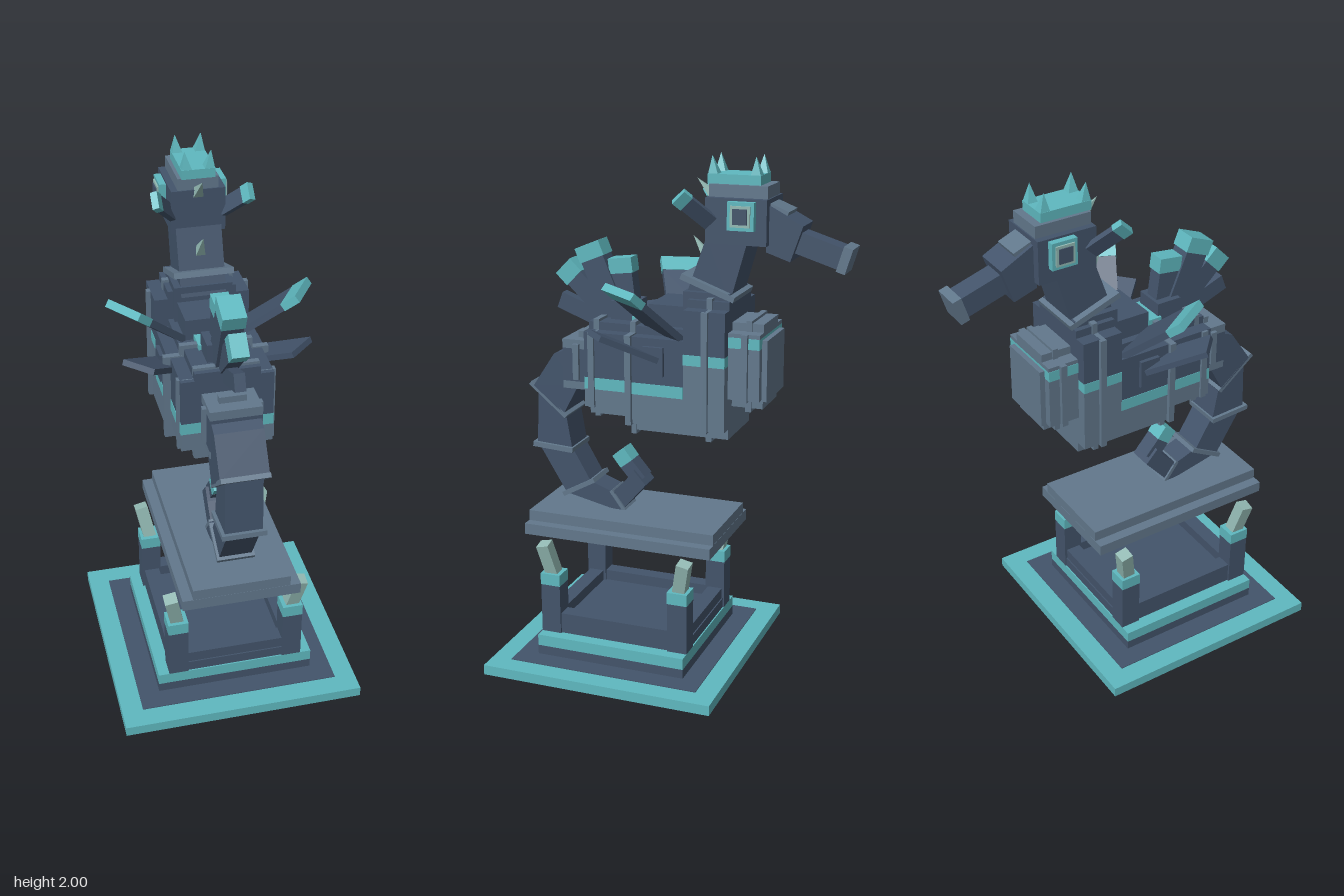
import * as THREE from 'three';

const mat = (name, color) => {
  const m = new THREE.MeshStandardMaterial({ color });
  m.name = name;
  return m;
};

export function createModel() {
  const navy = mat('navy', 0x43546b), steel = mat('steel blue', 0x62788c);
  const teal = mat('teal', 0x5fb9c0), pale = mat('pale teal', 0x93bab4);
  const root = new THREE.Group();
  root.name = 'seahorseOnPlinth';

  const add = (name, geo, m) => {
    const mesh = new THREE.Mesh(geo, m);
    mesh.name = name;
    root.add(mesh);
    return mesh;
  };
  // Box from its extents
  const box = (name, m, x0, x1, y0, y1, z0, z1) => {
    const mesh = add(name, new THREE.BoxGeometry(x1 - x0, y1 - y0, z1 - z0), m);
    mesh.position.set((x0 + x1) / 2, (y0 + y1) / 2, (z0 + z1) / 2);
    return mesh;
  };
  const slab = (name, m, hw, y0, y1, z0, z1) => box(name, m, -hw, hw, y0, y1, z0, z1);
  // Side outline of [z, y] points, given a width along x
  const prism = (name, m, hw, pts) => {
    const shape = new THREE.Shape(pts.map(p => new THREE.Vector2(p[0], p[1])));
    const geo = new THREE.ExtrudeGeometry(shape, { depth: hw * 2, bevelEnabled: false });
    return add(name, geo.rotateY(-Math.PI / 2).translate(hw, 0, 0), m);
  };
  // Straight bar in the side plane, from one [z, y] point to another
  const bar = (name, m, hw, [z0, y0], [z1, y1], t) => {
    const l = Math.hypot(z1 - z0, y1 - y0), a = -(y1 - y0) / l * t / 2, b = (z1 - z0) / l * t / 2;
    return prism(name, m, hw, [[z0 - a, y0 - b], [z1 - a, y1 - b], [z1 + a, y1 + b], [z0 + a, y0 + b]]);
  };
  // Flat plate from a base point to a tip, with a given width direction
  const plate = (name, m, from, to, wide, width, thick) => {
    const a = new THREE.Vector3(...from), b = new THREE.Vector3(...to);
    const l = b.clone().sub(a), len = l.length();
    l.normalize();
    const n = new THREE.Vector3().crossVectors(l, new THREE.Vector3(...wide)).normalize();
    const w = new THREE.Vector3().crossVectors(n, l);
    const mesh = add(name, new THREE.BoxGeometry(len, width, thick), m);
    mesh.quaternion.setFromRotationMatrix(new THREE.Matrix4().makeBasis(l, w, n));
    mesh.position.copy(a.add(b).multiplyScalar(0.5));
  };
  const mix = (a, b, t) => a.map((v, i) => v + (b[i] - v) * t);

  // Plinth
  slab('baseSlab', teal, 0.465, 0, 0.04, -0.272, 0.66);
  slab('baseTopInlay', navy, 0.385, 0.038, 0.043, -0.19, 0.58);
  slab('baseUnderInlay', navy, 0.385, -0.001, 0.004, -0.19, 0.58);
  slab('lowerStep', navy, 0.305, 0.04, 0.08, -0.11, 0.5);
  slab('upperStep', teal, 0.305, 0.08, 0.125, -0.11, 0.5);
  slab('trayFloor', navy, 0.255, 0.125, 0.165, -0.105, 0.495);
  for (const s of [-1, 1]) {
    const x = s * 0.225, z = 0.195 + s * 0.265;
    box('traySide', navy, x - 0.03, x + 0.03, 0.165, 0.208, -0.03, 0.42);
    slab('trayEnd', navy, 0.19, 0.165, 0.208, z - 0.03, z + 0.03);
    for (const t of [-1, 1]) {
      const pz = 0.195 + t * 0.265;
      box('post', navy, x - 0.038, x + 0.038, 0.125, 0.33, pz - 0.04, pz + 0.04);
      box('postCap', teal, x - 0.039, x + 0.039, 0.325, 0.372, pz - 0.041, pz + 0.041);
      plate('prong', pale, [x, 0.365, pz], [x + s * 0.027, 0.495, pz + t * 0.027], [1, 0, 0], 0.05, 0.05);
    }
  }

  // Floating platform
  slab('platformLower', steel, 0.225, 0.512, 0.556, -0.188, 0.582);
  slab('platformUpper', steel, 0.185, 0.556, 0.598, -0.187, 0.581);

  // Body sections: z0, z1, bottom, steel top, teal top, top, half width
  const sections = [
    ['rear', 0.15, 0.335, 1.01, 1.12, 1.165, 1.37, 0.17, navy],
    ['middle', -0.065, 0.16, 0.965, 1.12, 1.165, 1.37, 0.18, navy],
    ['chest', -0.225, -0.065, 0.965, 1.25, 1.29, 1.485, 0.18, navy],
    ['breast', -0.345, -0.225, 1.085, 1.32, 1.36, 1.405, 0.14, steel],
  ];
  for (const [n, z0, z1, yb, ys, yt, top, hw, m] of sections) {
    slab(n + 'Belly', steel, hw, yb + 0.04, ys, z0, z1);
    slab(n + 'BellyCore', steel, hw - 0.05, yb, yb + 0.05, z0, z1);
    slab(n + 'Band', teal, hw + 0.002, ys, yt, z0, z1);
    slab(n + 'Back', m, hw, yt, top - 0.03, z0, z1);
    slab(n + 'BackCore', m, hw - 0.05, top - 0.04, top, z0, z1);
  }
  // Armour rings, stepped at top and bottom
  for (const [z, y0, y1, hw] of [[0.4, 1.08, 1.31, 0.11], [0.305, 1.0, 1.38, 0.18],
    [0.15, 0.95, 1.385, 0.195], [-0.15, 0.95, 1.495, 0.195], [-0.29, 1.07, 1.415, 0.155]]) {
    slab('ring', steel, hw, y0 + 0.05, y1 - 0.04, z - 0.012, z + 0.012);
    slab('ringStep', steel, hw - 0.06, y0, y1, z - 0.011, z + 0.011);
  }
  slab('breastPlate', steel, 0.11, 1.12, 1.35, -0.365, -0.34);
  slab('shoulderHump', navy, 0.1, 1.36, 1.45, -0.07, 0.1);
  slab('backStripe', teal, 0.07, 1.37, 1.39, 0.1, 0.18);
  slab('finRoot', navy, 0.06, 1.36, 1.44, 0.17, 0.27);

  // Tail
  slab('tailRoot', navy, 0.095, 1.12, 1.25, 0.33, 0.46);
  slab('tailRootTop', steel, 0.095, 1.25, 1.285, 0.335, 0.46);
  slab('tailRootBottom', steel, 0.095, 1.09, 1.12, 0.335, 0.46);
  prism('tailUpper', navy, 0.09, [[0.4, 1.1], [0.465, 0.98], [0.59, 1.085], [0.5, 1.22], [0.45, 1.24]]);
  prism('tailMiddle', navy, 0.07, [[0.465, 0.98], [0.44, 0.83], [0.59, 0.84], [0.58, 1.08]]);
  prism('tailLower', navy, 0.062, [[0.44, 0.83], [0.365, 0.7], [0.47, 0.64], [0.588, 0.835]]);
  prism('tailBend', navy, 0.055, [[0.365, 0.7], [0.27, 0.665], [0.235, 0.595], [0.29, 0.6], [0.47, 0.64]]);
  prism('tailCurl', navy, 0.048, [[0.28, 0.665], [0.235, 0.6], [0.14, 0.71], [0.19, 0.765], [0.225, 0.72]]);
  bar('tailCurlEnd', navy, 0.035, [0.17, 0.72], [0.235, 0.795], 0.06);
  bar('tailTip', teal, 0.036, [0.225, 0.785], [0.26, 0.83], 0.062);
  bar('tailRing', steel, 0.09, [0.605, 1.095], [0.455, 0.97], 0.018);
  bar('tailRing', steel, 0.083, [0.605, 0.84], [0.435, 0.83], 0.02);
  bar('tailRing', steel, 0.072, [0.485, 0.638], [0.35, 0.712], 0.018);
  bar('tailRing', steel, 0.056, [0.285, 0.672], [0.228, 0.595], 0.014);

  // Fan of fins along the back
  for (const [a, b, t, hw, tip] of [
    [[0.24, 1.32], [0.5, 1.42], 0.065, 0.02, 0], [[0.25, 1.33], [0.48, 1.555], 0.075, 0.028, 0.8],
    [[0.25, 1.34], [0.375, 1.645], 0.095, 0.04, 0.82], [[0.215, 1.36], [0.245, 1.6], 0.085, 0.03, 0.76]]) {
    bar('backFin', navy, hw, a, tip ? mix(a, b, tip) : b, t);
    if (tip) bar('backFinTip', teal, hw + 0.003, mix(a, b, tip), b, t + 0.01);
  }

  // Neck
  prism('neck', navy, 0.085, [[-0.035, 1.47], [-0.21, 1.47], [-0.275, 1.7], [-0.12, 1.71]]);
  bar('neckCollar', steel, 0.112, [-0.03, 1.565], [-0.235, 1.49], 0.022);
  slab('neckBase', navy, 0.11, 1.33, 1.51, -0.22, -0.04);

  // Head and snout
  slab('head', navy, 0.1, 1.69, 1.855, -0.35, -0.12);
  slab('headTop', steel, 0.075, 1.855, 1.9, -0.345, -0.125);
  prism('snoutBase', navy, 0.068, [[-0.34, 1.835], [-0.475, 1.765], [-0.43, 1.635], [-0.34, 1.665]]);
  bar('snoutBridge', steel, 0.055, [-0.345, 1.83], [-0.415, 1.802], 0.02);
  bar('snout', navy, 0.042, [-0.44, 1.705], [-0.61, 1.652], 0.08);
  bar('snoutTip', steel, 0.053, [-0.607, 1.655], [-0.64, 1.645], 0.095);

  // Crown
  slab('crown', teal, 0.062, 1.9, 1.935, -0.315, -0.115);
  const spike = (name, m, r, from, to) => {
    const a = new THREE.Vector3(...from), d = new THREE.Vector3(...to).sub(a), h = d.length();
    const geo = new THREE.ConeGeometry(r * Math.SQRT2, h, 4).rotateY(Math.PI / 4).translate(0, h / 2, 0).toNonIndexed();
    geo.computeVertexNormals();
    const mesh = add(name, geo, m);
    mesh.position.copy(a);
    mesh.quaternion.setFromUnitVectors(new THREE.Vector3(0, 1, 0), d.normalize());
  };
  for (const x of [-0.042, 0.042])
    for (const z of [-0.135, -0.295]) spike('crownSpike', teal, 0.02, [x, 1.93, z], [x * 1.15, 2, z + (z < -0.2 ? 0.002 : 0.006)]);
  spike('napeSpike', pale, 0.018, [0, 1.84, -0.13], [0, 1.91, -0.055]);
  spike('napeSpike', pale, 0.018, [0, 1.62, -0.1], [0, 1.7, -0.04]);

  // Paired eyes, ear fins and wings
  for (const s of [-1, 1]) {
    const side = (name, m, x0, x1, ...r) => box(name, m, Math.min(s * x0, s * x1), Math.max(s * x0, s * x1), ...r);
    side('eyeFrame', teal, 0.095, 0.125, 1.745, 1.847, -0.31, -0.21);
    side('eyeRing', pale, 0.12, 0.131, 1.758, 1.834, -0.297, -0.223);
    side('pupil', navy, 0.128, 0.135, 1.768, 1.824, -0.287, -0.233);
    side('wingJoint', navy, 0.15, 0.195, 1.2, 1.31, 0.01, 0.09);

    const fin = (name, from, to, wide, width, thick, split) => {
      const f = [from[0] * s, from[1], from[2]], t = [to[0] * s, to[1], to[2]], w = [wide[0] * s, wide[1], wide[2]];
      const mid = split ? mix(f, t, split) : t;
      plate(name, navy, f, mid, w, width, thick);
      if (split) plate(name + 'Tip', teal, mid, t, w, width + 0.004, thick + 0.004);
    };
    fin('earFin', [0.095, 1.765, -0.14], [0.175, 1.865, -0.045], [0, -0.7, 0.72], 0.06, 0.022, 0.75);
    fin('wing', [0.12, 1.345, 0.015], [0.33, 1.54, 0.127], [-0.1, 0, 0.14], 0.17, 0.026, 0.78);
    fin('lowerWing', [0.15, 1.26, 0.07], [0.3, 1.365, 0.235], [-0.1, 0, 0.1], 0.13, 0.022, 0);
  }
  return root;
}
